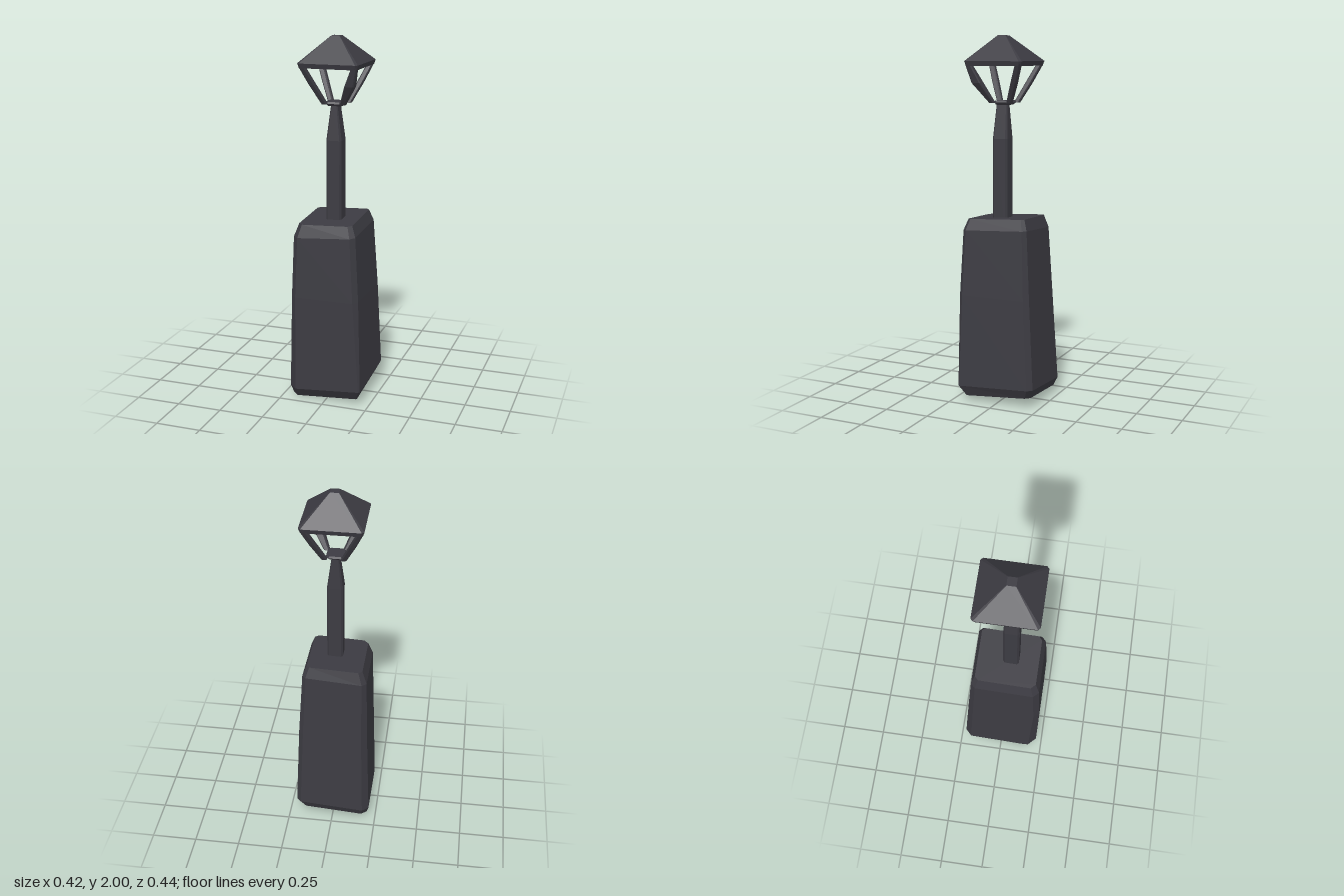
import * as THREE from 'three';

const iron = new THREE.MeshStandardMaterial({ color: 0x3c3b42, flatShading: true });
iron.name = 'dark iron';

// Rectangular ring with cut corners; c = cuts at [-x-z, +x-z, +x+z, -x+z], tilt = slope of y along x and z
function ring(y, x0, x1, z0, z1, c, tilt = [0, 0]) {
  const [a, b, d, e] = Array.isArray(c) ? c : [c, c, c, c];
  return [
    [x0, z0 + a], [x0 + a, z0], [x1 - b, z0], [x1, z0 + b],
    [x1, z1 - d], [x1 - d, z1], [x0 + e, z1], [x0, z1 - e],
  ].map(([x, z]) => [x, y + tilt[0] * x + tilt[1] * z, z]);
}

// Skin over rings given from bottom to top, closed at both ends
function loft(name, rings) {
  const pos = [];
  const n = rings[0].length;
  const tri = (a, b, c) => pos.push(...a, ...b, ...c);
  for (let r = 0; r < rings.length - 1; r++) {
    for (let i = 0; i < n; i++) {
      const j = (i + 1) % n;
      const [a, b, c, d] = [rings[r][i], rings[r][j], rings[r + 1][j], rings[r + 1][i]];
      tri(a, c, b);
      tri(a, d, c);
    }
  }
  const top = rings[rings.length - 1];
  for (let i = 1; i < n - 1; i++) {
    tri(rings[0][0], rings[0][i], rings[0][i + 1]);
    tri(top[0], top[i + 1], top[i]);
  }
  const geo = new THREE.BufferGeometry();
  geo.setAttribute('position', new THREE.Float32BufferAttribute(pos, 3));
  geo.computeVertexNormals();
  const mesh = new THREE.Mesh(geo, iron);
  mesh.name = name;
  return mesh;
}

export function createModel() {
  const model = new THREE.Group();
  model.name = 'lampPost';

  // Rough, slightly leaning block with worn edges
  model.add(loft('pedestal', [
    ring(0.032, -0.2, 0.18, -0.2, 0.18, [0.03, 0.025, 0.006, 0.03], [0.075, -0.085]),
    ring(0.085, -0.212, 0.207, -0.223, 0.217, [0.035, 0.025, 0.008, 0.045], [0.08, -0.06]),
    ring(0.6, -0.192, 0.19, -0.193, 0.22, [0.03, 0.025, 0.025, 0.03], [0, 0]),
    ring(0.955, -0.182, 0.168, -0.17, 0.207, [0.025, 0.02, 0.025, 0.03], [0.07, -0.05]),
    ring(1.02, -0.157, 0.145, -0.15, 0.185, [0.02, 0.015, 0.02, 0.025], [0.045, -0.05]),
  ]));

  // Square post narrowing towards the lantern
  model.add(loft('post', [
    ring(0.98, -0.034, 0.052, -0.01, 0.076, 0.01),
    ring(1.45, -0.034, 0.052, -0.01, 0.076, 0.01),
    ring(1.64, -0.01, 0.026, 0, 0.062, 0.005),
  ]));

  const lantern = new THREE.Group();
  lantern.name = 'lantern';
  model.add(lantern);

  // Small plate that carries the struts
  lantern.add(loft('lanternPlate', [
    ring(1.632, -0.03, 0.045, -0.015, 0.06, 0.01),
    ring(1.645, -0.045, 0.055, -0.03, 0.07, 0.015),
    ring(1.655, -0.04, 0.05, -0.025, 0.065, 0.015),
  ]));

  // Four corner struts; the front left one bows outwards
  const cx = 0.01, cz = 0.02;
  for (const sx of [-1, 1]) {
    for (const sz of [-1, 1]) {
      const bow = sx > 0 && sz > 0 ? 0.018 : 0;
      const section = (y, inner, outer) => {
        const xs = [cx + sx * inner, cx + sx * outer].sort((p, q) => p - q);
        const zs = [cz + sz * inner, cz + sz * outer].sort((p, q) => p - q);
        return ring(y, xs[0], xs[1], zs[0], zs[1], 0.006);
      };
      lantern.add(loft('lanternStrut', [
        section(1.643, 0.035, 0.065),
        section(1.75, 0.083, 0.117 + bow),
        section(1.85, 0.128, 0.16),
      ]));
    }
  }

  // Pyramid roof with a thin rim and a flat tip
  lantern.add(loft('lanternRoof', [
    ring(1.84, -0.148, 0.168, -0.138, 0.178, 0.01),
    ring(1.865, -0.155, 0.175, -0.146, 0.186, 0.012),
    ring(2.0, -0.012, 0.035, 0.004, 0.051, 0.001),
  ]));

  return model;
}
